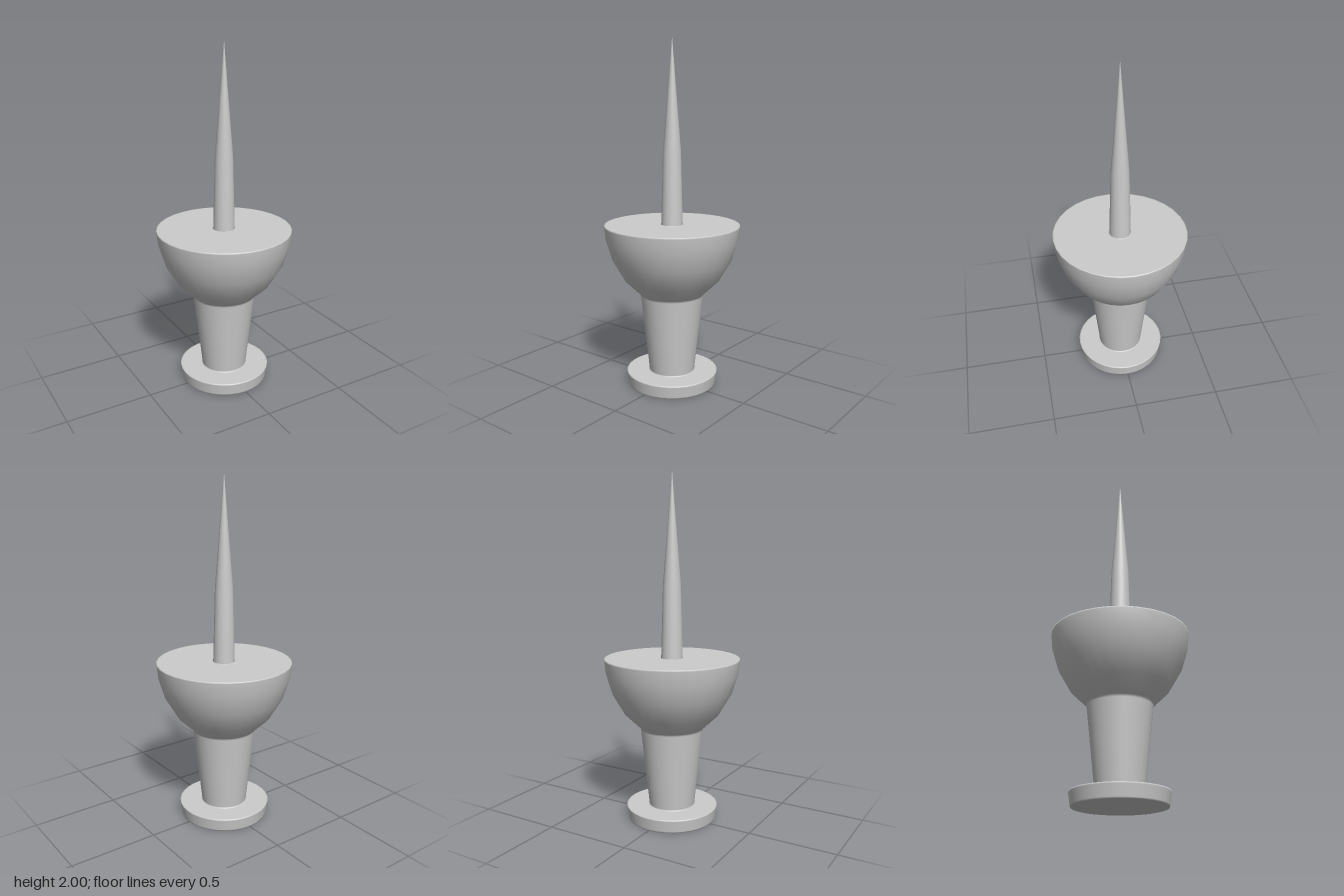
import * as THREE from 'three';

const SIDES = 32;
const EDGE = 0.008; // width of the soft shading next to an edge

// Adds a point just before and after each edge point [r, y, 1], so flat areas stay flat
function profile(points) {
  const v = points.map(([r, y]) => new THREE.Vector2(r, y));
  const towards = (a, b) => a.clone().add(b.clone().sub(a).setLength(EDGE));
  return v.flatMap((p, i) =>
    points[i][2] ? [towards(p, v[i - 1]), p, towards(p, v[i + 1])] : [p]);
}

function turned(name, points) {
  const mesh = new THREE.Mesh(
    new THREE.LatheGeometry(profile(points), SIDES),
    new THREE.MeshStandardMaterial({ color: 0xcccccc })
  );
  mesh.name = name;
  return mesh;
}

export function createModel() {
  const group = new THREE.Group();
  group.name = 'pushPin';

  // Handle: end disc, tapered grip and rounded collar with a flat top
  group.add(turned('handle', [
    [0, 0],
    [0.255, 0, 1],
    [0.266, 0.077, 1],
    [0.132, 0.077, 1],
    [0.182, 0.54, 1],
    [0.275, 0.63],
    [0.345, 0.75],
    [0.38, 0.865],
    [0.389, 0.95, 1],
    [0.062, 0.95, 1],
    [0.061, 0.98],
  ]));

  // Needle: slightly tapered shaft ending in a long point
  group.add(turned('needle', [
    [0.062, 0.95],
    [0.051, 1.37],
    [0.025, 1.69],
    [0, 2],
  ]));
  return group;
}
